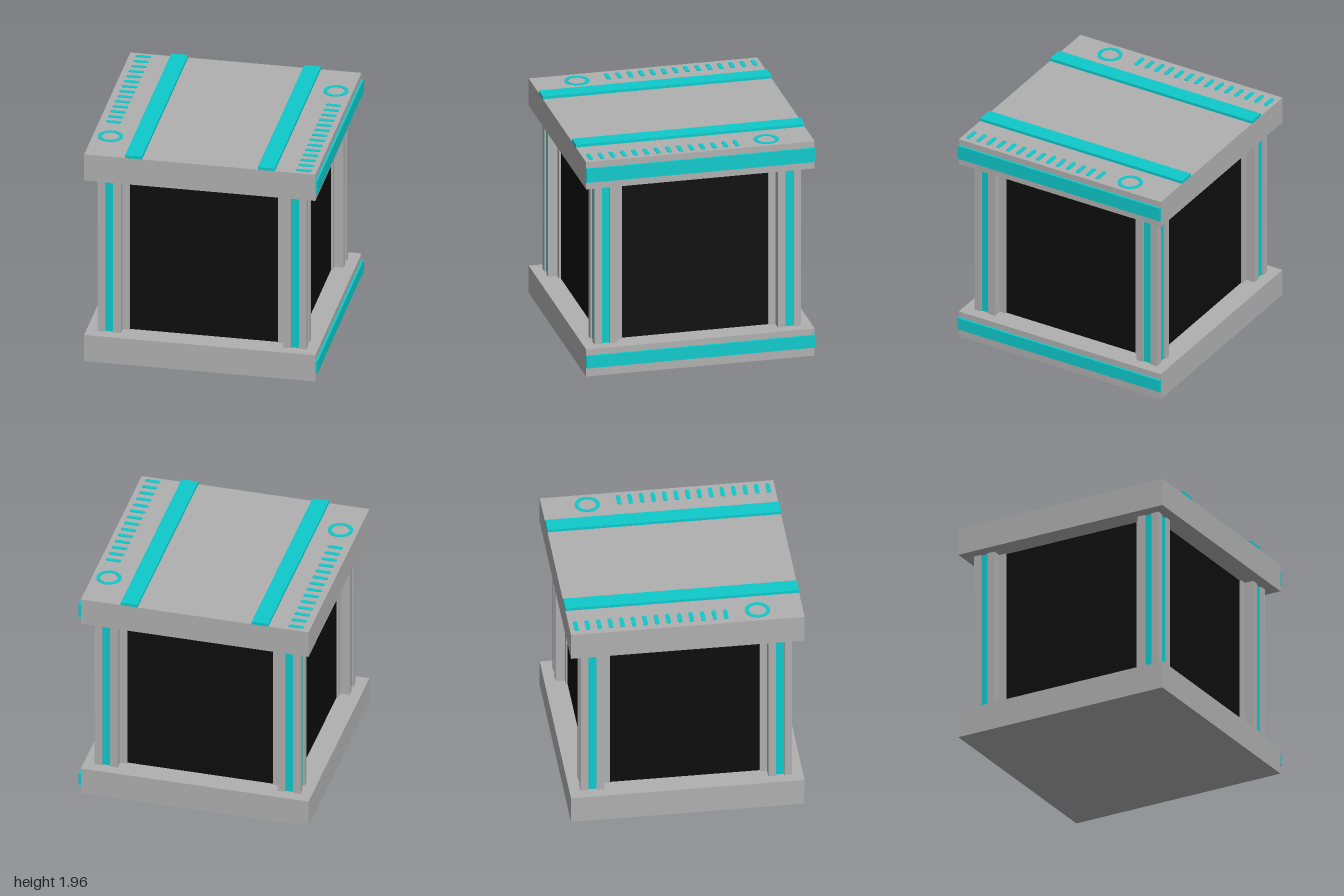
import * as THREE from 'three';

const mat = (name, color) => {
  const m = new THREE.MeshStandardMaterial({ color });
  m.name = name;
  return m;
};

export function createModel() {
  const grey = mat('grey casing', 0xb0b0b0);
  const cyan = mat('cyan trim', 0x0ecacc);
  const black = mat('black panel', 0x0d0d0d);
  const model = new THREE.Group();
  model.name = 'cubeMachine';

  const CX = -0.01;               // body centre; the side trim fills the rest of the width
  const LOW = 0.245, HIGH = 1.69, TOP = 1.935;

  // box given by its minimum and maximum along each axis
  const box = (parent, name, material, x0, x1, y0, y1, z0, z1) => {
    const mesh = new THREE.Mesh(new THREE.BoxGeometry(x1 - x0, y1 - y0, z1 - z0), material);
    mesh.position.set((x0 + x1) / 2, (y0 + y1) / 2, (z0 + z1) / 2);
    mesh.name = name;
    parent.add(mesh);
    return mesh;
  };

  // slabs and dark core
  box(model, 'baseSlab', grey, -1, 0.98, 0, LOW, -0.99, 0.99);
  box(model, 'topSlab', grey, -1, 0.98, HIGH, TOP, -0.99, 0.99);
  box(model, 'darkCore', black, CX - 0.8, CX + 0.8, LOW, HIGH, -0.8, 0.8);

  // trim bands on the left side and on the top
  box(model, 'lowerSideBand', cyan, 0.98, 1, 0.08, 0.19, -0.99, 0.99);
  box(model, 'upperSideBand', cyan, 0.98, 1, 1.755, 1.88, -0.99, 0.99);
  box(model, 'topBandRight', cyan, -0.65, -0.505, TOP, 1.96, -0.99, 0.99);
  box(model, 'topBandLeft', cyan, 0.488, 0.633, TOP, 1.96, -0.99, 0.99);

  // stepped corner posts: the two arms share one cross-section
  for (const sx of [-1, 1]) for (const sz of [-1, 1]) {
    const post = new THREE.Group();
    post.name = 'cornerPost';
    post.position.x = CX;
    model.add(post);
    const part = (name, m, x0, x1, z0, z1) => box(post, name, m,
      Math.min(sx * x0, sx * x1), Math.max(sx * x0, sx * x1), LOW, HIGH,
      Math.min(sz * z0, sz * z1), Math.max(sz * z0, sz * z1));
    part('postCore', grey, 0.635, 0.815, 0.635, 0.815);
    part('cornerBar', grey, 0.83, 0.895, 0.83, 0.895);
    part('frontLight', cyan, 0.76, 0.83, 0.76, 0.88);
    part('sideLight', cyan, 0.83, 0.88, 0.76, 0.83);
    part('frontBar', grey, 0.695, 0.76, 0.76, 0.895);
    part('sideBar', grey, 0.76, 0.895, 0.695, 0.76);
  }

  // thin painted marks on the top
  const mark = (name, shape, x, z) => {
    const geo = new THREE.ExtrudeGeometry(shape, { depth: 0.005, bevelEnabled: false, curveSegments: 24 });
    geo.rotateX(-Math.PI / 2);
    const mesh = new THREE.Mesh(geo, cyan);
    mesh.position.set(x, TOP, z);
    mesh.name = name;
    model.add(mesh);
  };
  const ring = new THREE.Shape().absarc(0, 0, 0.106, 0, Math.PI * 2);
  ring.holes.push(new THREE.Path().absarc(0, 0, 0.075, 0, Math.PI * 2, true));
  mark('topRing', ring, -0.85, 0.61);
  mark('topRing', ring, 0.838, -0.606);

  const dash = new THREE.Shape();
  dash.absarc(0.048, 0, 0.018, -Math.PI / 2, Math.PI / 2);
  dash.absarc(-0.048, 0, 0.018, Math.PI / 2, Math.PI * 1.5);
  for (let i = 0; i < 14; i++) {
    mark('topDash', dash, -0.878, -0.932 + i * 0.0977);
    mark('topDash', dash, 0.87, 0.932 - i * 0.0975);
  }
  return model;
}
